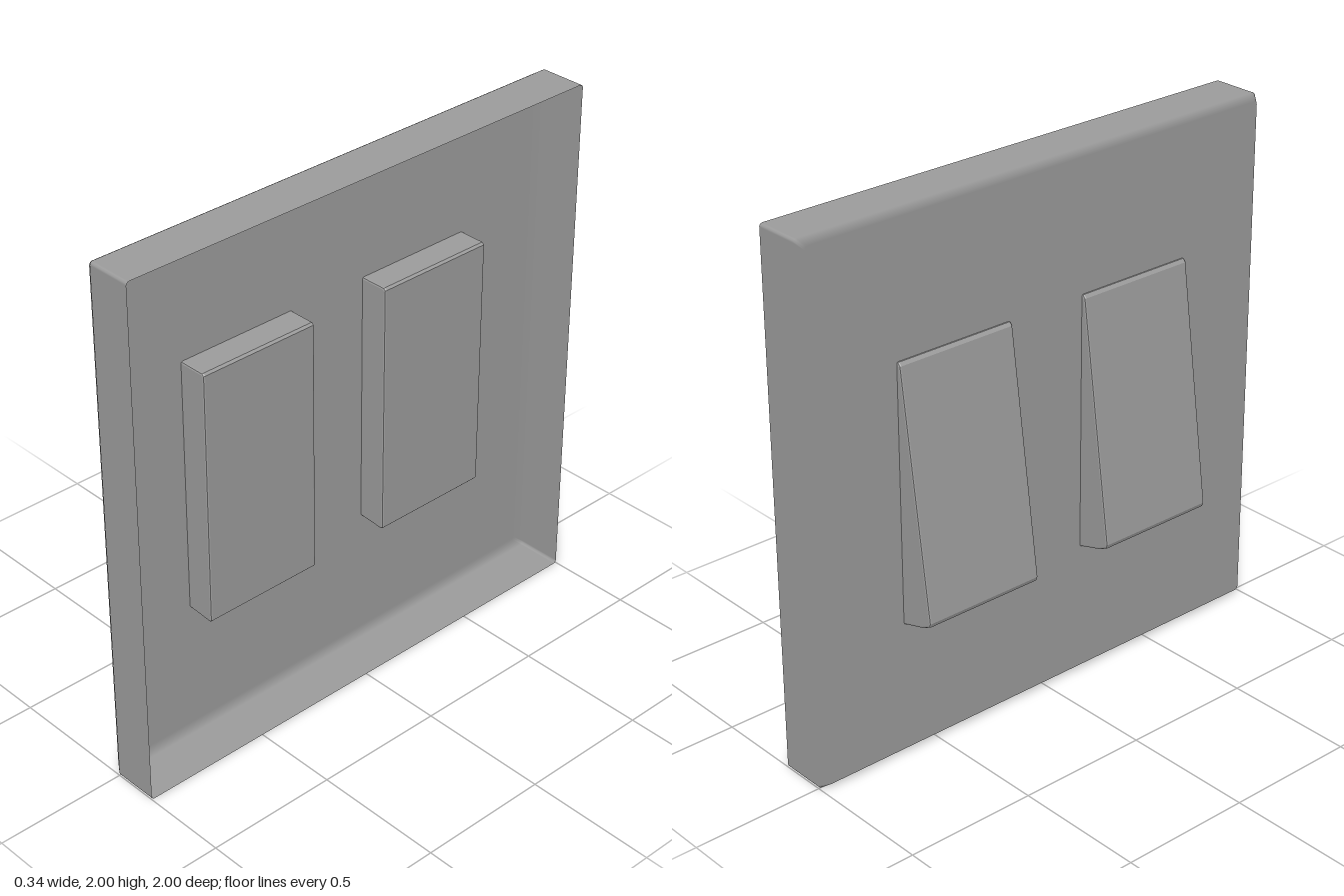
import * as THREE from 'three';

const material = new THREE.MeshStandardMaterial({ color: 0x9b9b9b, side: THREE.DoubleSide });

// Counter-clockwise outline of a rounded square centred on the origin
function roundedSquare(half, radius = 0.012, steps = 3) {
  const points = [];
  for (let corner = 0; corner < 4; corner++) {
    const mid = Math.PI / 4 + corner * Math.PI / 2;
    const cx = Math.sign(Math.cos(mid)) * (half - radius);
    const cy = Math.sign(Math.sin(mid)) * (half - radius);
    for (let i = 0; i <= steps; i++) {
      const a = (corner + i / steps) * Math.PI / 2;
      points.push(new THREE.Vector2(cx + radius * Math.cos(a), cy + radius * Math.sin(a)));
    }
  }
  return points;
}

// Open-backed rim: straight wall, then a bevel shaded smoothly into the face
function rimGeometry() {
  const rings = [[-0.172, 1, 0], [0, 1, 0], [0.03, 0.98, 1]]; // depth, half size, forward normal
  const steps = 3, n = 4 * (steps + 1);
  const positions = [], normals = [], index = [];
  rings.forEach(([depth, half, forward], i) => {
    roundedSquare(half, 0.012, steps).forEach((p, j) => {
      const corner = Math.floor(j / (steps + 1));
      const angle = (corner + (j % (steps + 1)) / steps) * Math.PI / 2;
      positions.push(p.x, p.y, depth);
      normals.push((1 - forward) * Math.cos(angle), (1 - forward) * Math.sin(angle), forward);
      if (i === rings.length - 1) return;
      const a = i * n + j, b = i * n + (j + 1) % n;
      index.push(a, b, b + n, a, b + n, a + n);
    });
  });
  const geometry = new THREE.BufferGeometry();
  geometry.setAttribute('position', new THREE.Float32BufferAttribute(positions, 3));
  geometry.setAttribute('normal', new THREE.Float32BufferAttribute(normals, 3));
  geometry.setIndex(index);
  return geometry;
}

// Flat face with two openings that fit closely around the rockers
function faceGeometry() {
  const shape = new THREE.Shape(roundedSquare(0.98));
  for (const side of [-1, 1]) {
    const l = side * 0.4 - 0.237, r = side * 0.4 + 0.237, b = -0.486, t = 0.485;
    shape.holes.push(new THREE.Path([[l, b], [l, t], [r, t], [r, b]].map(p => new THREE.Vector2(...p))));
  }
  return new THREE.ShapeGeometry(shape).translate(0, 0, 0.03);
}

// Tilted rocker with a block behind it: a side profile swept along z with eased edges
function rockerGeometry() {
  const profile = [
    [0.072, 1.487], [-0.035, 1.487], [-0.045, 1.475], [-0.17, 0.575], [-0.165, 0.56],
    [-0.13, 0.542], [-0.03, 0.513], [0.072, 0.506], [0.08, 0.514], [0.08, 1.479],
  ].map(p => new THREE.Vector2(...p));
  const width = 0.478, bevel = 0.007;
  return new THREE.ExtrudeGeometry(new THREE.Shape(profile), {
    depth: width - 2 * bevel, bevelSize: bevel, bevelThickness: bevel, bevelOffset: -bevel, bevelSegments: 2,
  }).translate(0, 0, bevel - width / 2);
}

export function createModel() {
  const group = new THREE.Group();
  const add = (name, geometry) => {
    const mesh = new THREE.Mesh(geometry, material);
    mesh.name = name;
    group.add(mesh);
    return mesh;
  };

  // Wall plate, turned so its face looks along -x
  for (const [name, geometry] of [['plateRim', rimGeometry()], ['plateFace', faceGeometry()]]) {
    add(name, geometry.rotateY(-Math.PI / 2).translate(0, 1, 0));
  }

  // Pair of rockers
  const rocker = rockerGeometry();
  add('leftRocker', rocker).position.z = 0.4;
  add('rightRocker', rocker).position.z = -0.4;

  return group;
}
